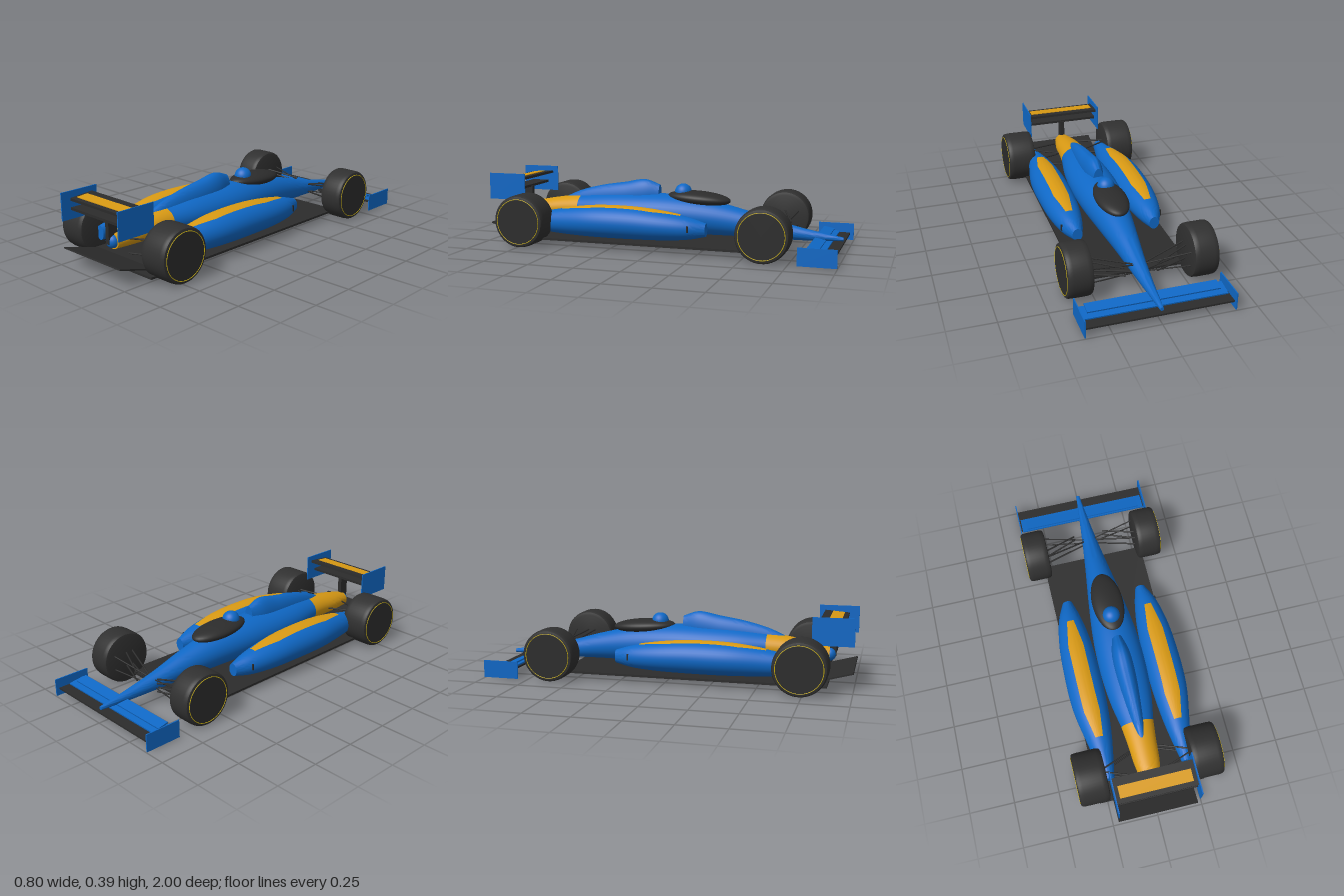
import * as THREE from 'three';
import { toCreasedNormals } from 'three/addons/utils/BufferGeometryUtils.js';

const mat = (name, color) => {
  const m = new THREE.MeshStandardMaterial({ color });
  m.name = name;
  return m;
};

// Elliptical loft along z. Each section: [z, centreX, centreY, radiusX, radiusY].
// halfArc(z, rx), when given, limits the skin to a strip around the top.
function loft(sections, { steps = 40, from = 0, to = 1, halfArc = null, grow = 0, segs = 40 } = {}) {
  const centres = new THREE.CatmullRomCurve3(sections.map(s => new THREE.Vector3(s[1], s[2], s[0])), false, 'centripetal');
  const radii = new THREE.CatmullRomCurve3(sections.map(s => new THREE.Vector3(s[3], s[4], s[0])), false, 'centripetal');
  const pos = [], idx = [], ring = segs + 1;
  for (let i = 0; i <= steps; i++) {
    const t = from + (to - from) * i / steps;
    const c = centres.getPoint(t), r = radii.getPoint(t);
    const h = halfArc ? halfArc(c.z, r.x) : Math.PI;
    for (let j = 0; j <= segs; j++) {
      const a = -h + 2 * h * j / segs;
      pos.push(c.x + (r.x + grow) * Math.sin(a), c.y + (r.y + grow) * Math.cos(a), c.z);
      if (i < steps && j < segs) {
        const p = i * ring + j, q = p + ring;
        idx.push(p, q, p + 1, p + 1, q, q + 1);
      }
    }
  }
  if (!halfArc) {
    // flat end caps
    const a = centres.getPoint(from), b = centres.getPoint(to);
    const n = pos.length / 3, last = steps * ring;
    pos.push(a.x, a.y, a.z, b.x, b.y, b.z);
    for (let j = 0; j < segs; j++) idx.push(n, j, j + 1, n + 1, last + j + 1, last + j);
  }
  const g = new THREE.BufferGeometry();
  g.setAttribute('position', new THREE.Float32BufferAttribute(pos, 3));
  g.setIndex(idx);
  return toCreasedNormals(g, 0.7);
}

export function createModel() {
  const blue = mat('blue paint', 0x0f68c6);
  const yellow = mat('yellow paint', 0xd99a14);
  yellow.side = THREE.DoubleSide;
  const carbon = mat('carbon', 0x2c2c2c);
  const rubber = mat('tyre rubber', 0x303030);
  const ringYellow = mat('ring yellow', 0xd8bc10);

  const car = new THREE.Group();
  car.name = 'racingCar';
  const add = (name, geo, material, x = 0, y = 0, z = 0, rx = 0, parent = car) => {
    const m = new THREE.Mesh(geo, material);
    m.name = name;
    m.position.set(x, y, z);
    m.rotation.x = rx;
    parent.add(m);
    return m;
  };
  const box = (name, w, h, d, material, x, y, z, rx) =>
    add(name, new THREE.BoxGeometry(w, h, d), material, x, y, z, rx);
  const rod = (name, a, b, r = 0.0045) => {
    const p = new THREE.Vector3(...a), q = new THREE.Vector3(...b);
    const m = add(name, new THREE.CylinderGeometry(r, r, p.distanceTo(q), 8), carbon);
    m.position.copy(p).add(q).multiplyScalar(0.5);
    m.quaternion.setFromUnitVectors(new THREE.Vector3(0, 1, 0), q.sub(p).normalize());
  };

  // Fuselage: blue nose and tub, yellow tail, blue end cap
  add('fuselage', loft([
    [-0.985, 0, 0.082, 0.010, 0.010],
    [-0.80, 0, 0.095, 0.028, 0.030],
    [-0.62, 0, 0.115, 0.048, 0.050],
    [-0.45, 0, 0.140, 0.070, 0.073],
    [-0.25, 0, 0.162, 0.098, 0.096],
    [-0.02, 0, 0.175, 0.124, 0.108],
    [0.18, 0, 0.178, 0.130, 0.106],
    [0.36, 0, 0.182, 0.118, 0.094],
    [0.52, 0, 0.185, 0.090, 0.073],
  ], { steps: 64 }), blue);
  add('tailFairing', loft([
    [0.52, 0, 0.185, 0.090, 0.073],
    [0.62, 0, 0.180, 0.079, 0.066],
    [0.74, 0, 0.170, 0.069, 0.056],
    [0.86, 0, 0.158, 0.045, 0.042],
  ]), yellow);
  const cap = add('tailCap', new THREE.SphereGeometry(0.037, 24, 16), blue, 0, 0.158, 0.86);
  cap.scale.z = 0.9;

  // Engine cover
  add('engineCover', loft([
    [0.045, 0, 0.265, 0.030, 0.070],
    [0.13, 0, 0.265, 0.050, 0.097],
    [0.25, 0, 0.255, 0.054, 0.088],
    [0.40, 0, 0.235, 0.046, 0.083],
    [0.53, 0, 0.215, 0.034, 0.068],
    [0.625, 0, 0.200, 0.022, 0.042],
  ]), blue);

  // Cockpit opening and helmet
  const cockpit = add('cockpit', new THREE.SphereGeometry(1, 40, 24), carbon, 0, 0.268, -0.185, -0.06);
  cockpit.scale.set(0.088, 0.040, 0.18);
  add('helmet', new THREE.SphereGeometry(0.048, 32, 20), blue, 0, 0.298, -0.093);

  // Sidepods with yellow inlays following the top skin
  for (const s of [-1, 1]) {
    const side = s > 0 ? 'left' : 'right';
    const pod = [
      [-0.285, 0.218, 0.130, 0.028, 0.036],
      [-0.19, 0.225, 0.135, 0.062, 0.060],
      [-0.05, 0.228, 0.142, 0.088, 0.078],
      [0.12, 0.229, 0.148, 0.099, 0.088],
      [0.35, 0.228, 0.147, 0.097, 0.087],
      [0.55, 0.220, 0.137, 0.070, 0.071],
      [0.77, 0.215, 0.125, 0.026, 0.040],
    ].map(([z, x, ...r]) => [z, s * x, ...r]);
    add(side + 'Sidepod', loft(pod, { steps: 56 }), blue);
    const strip = (z, rx) => {
      const w = 0.018 + 0.024 * Math.min(1, Math.min(z + 0.15, 0.56 - z) / 0.16);
      return Math.asin(w / rx);
    };
    add(side + 'SidepodInlay', loft(pod, { from: 0.22, to: 0.83, halfArc: strip, grow: 0.003, segs: 12 }), yellow);
    box(side + 'SidepodSlit', 0.008, 0.035, 0.008, carbon, s * 0.284, 0.14, -0.2);
  }

  // Floor and rising diffuser
  box('floor', 0.59, 0.012, 1.45, carbon, 0, 0.042, 0.145);
  box('diffuser', 0.44, 0.008, 0.235, carbon, 0, 0.072, 0.885, -0.27);

  // Front wing
  box('frontWingPlane', 0.765, 0.010, 0.13, carbon, 0, 0.045, -0.915);
  box('frontWingFlap', 0.75, 0.008, 0.09, blue, 0, 0.060, -0.876, -0.14);
  box('frontWingUpperFlap', 0.69, 0.008, 0.06, blue, 0, 0.078, -0.865, -0.2);

  // Rear wing
  box('rearWingPlane', 0.44, 0.014, 0.135, carbon, 0, 0.352, 0.878, 0.08);
  box('rearWingStripe', 0.39, 0.004, 0.065, yellow, 0, 0.3595, 0.888, 0.08);
  box('rearWingLowerPlane', 0.44, 0.014, 0.10, carbon, 0, 0.298, 0.895);
  box('rearWingStrut', 0.024, 0.15, 0.055, carbon, 0, 0.222, 0.866);
  for (const s of [-1, 1]) {
    box('frontWingEndplate', 0.006, 0.095, 0.20, blue, s * 0.385, 0.055, -0.90);
    box('rearWingEndplate', 0.006, 0.148, 0.22, blue, s * 0.219, 0.317, 0.89);
  }

  // Wheels
  const wheel = (name, s, inner, z, r) => {
    const h = (0.398 - inner) / 2, c = 0.012;
    const profile = [[0, -h], [r - 0.022, -h], [r - 0.007, -h + 0.004], [r - 0.002, -h + c], [r, -h + 0.03],
      [r, h - 0.03], [r - 0.002, h - c], [r - 0.007, h - 0.004], [r - 0.022, h], [0, h]]
      .map(p => new THREE.Vector2(...p));
    const g = new THREE.Group();
    g.name = name;
    g.position.set(s * (inner + h), 0.003 + r, z);
    g.rotation.z = -s * Math.PI / 2;
    car.add(g);
    add('tyre', toCreasedNormals(new THREE.LatheGeometry(profile, 48), 0.6), rubber, 0, 0, 0, 0, g);
    add('wheelDisc', new THREE.CylinderGeometry(r - 0.024, r - 0.024, 0.002, 48), carbon, 0, h, 0, 0, g);
    add('sidewallRing', new THREE.TorusGeometry(r - 0.021, 0.0018, 6, 64), ringYellow, 0, h, 0, Math.PI / 2, g);
  };
  for (const s of [-1, 1]) {
    const side = s > 0 ? 'left' : 'right';
    wheel(side + 'RearWheel', s, 0.232, 0.738, 0.145);
    wheel(side + 'FrontWheel', s, 0.262, -0.62, 0.143);
    // Wishbones: upper and lower pairs for each wheel
    for (const [yIn, yOut] of [[0.168, 0.183], [0.09, 0.10]]) {
      rod('rearWishbone', [s * 0.05, yIn, 0.645], [s * 0.25, yOut, 0.72]);
      rod('rearWishbone', [s * 0.05, yIn, 0.80], [s * 0.25, yOut, 0.73]);
    }
    for (const [yIn, yOut] of [[0.135, 0.18], [0.09, 0.10]]) {
      rod('frontWishbone', [s * 0.03, yIn, -0.65], [s * 0.27, yOut, -0.58]);
      rod('frontWishbone', [s * 0.085, yIn + 0.01, -0.69], [s * 0.27, yOut, -0.62]);
      rod('frontTrackRod', [s * 0.03, yIn, -0.66], [s * 0.27, yOut, -0.70], 0.0035);
    }
  }
  return car;
}
